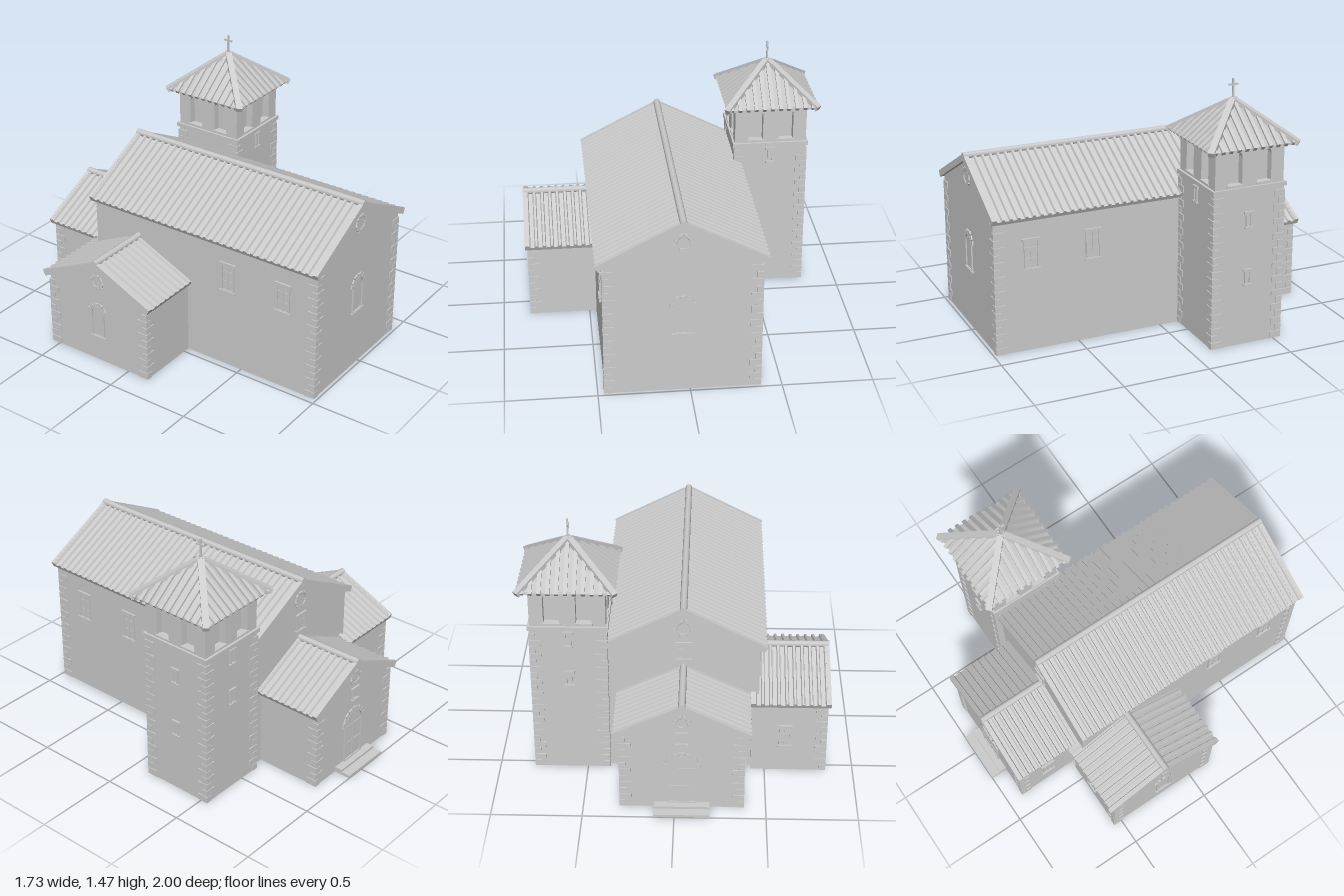
import * as THREE from 'three';

const mat = new THREE.MeshStandardMaterial({ color: 0xcccccc });

function add(parent, name, geo, x = 0, y = 0, z = 0, ry = 0) {
  const m = new THREE.Mesh(geo, mat);
  m.name = name;
  m.position.set(x, y, z);
  m.rotation.y = ry;
  parent.add(m);
  return m;
}
function group(parent, name, x = 0, y = 0, z = 0, ry = 0) {
  const g = new THREE.Group();
  g.name = name;
  g.position.set(x, y, z);
  g.rotation.y = ry;
  parent.add(g);
  return g;
}
const box = (w, h, d) => new THREE.BoxGeometry(w, h, d);
const extrude = (shape, depth) => new THREE.ExtrudeGeometry(shape, { depth, bevelEnabled: false, curveSegments: 10 });

// Upright outline, optionally with a round head; y is its bottom
function opening(Type, w, h, arched, x = 0, y = 0) {
  const s = new Type(), r = w / 2;
  s.moveTo(x - r, y);
  s.lineTo(x + r, y);
  if (arched) {
    s.lineTo(x + r, y + h - r);
    s.absarc(x, y + h - r, r, 0, Math.PI, false);
  } else {
    s.lineTo(x + r, y + h);
    s.lineTo(x - r, y + h);
  }
  s.closePath();
  return s;
}

// Stone blocks set around an arc
function voussoirs(g, cy, r, from, to, n, size) {
  for (let i = 0; i < n; i++) {
    const a = from + ((to - from) * (i + 0.5)) / n;
    const b = add(g, 'archStone', box(size * (i % 2 ? 1 : 1.35), r * (to - from) / n * 0.9, 0.016), Math.cos(a) * r, cy + Math.sin(a) * r, 0);
    b.rotation.z = a;
  }
}

// Framed window or door facing +z, with its foot at the origin
function windowUnit(parent, name, x, y, z, ry, w, h, { arched = false, bars = 0, stones = 0, sill = true, lintel = false } = {}) {
  const g = group(parent, name, x, y, z, ry), f = 0.008;
  const frame = opening(THREE.Shape, w, h, arched);
  frame.holes.push(opening(THREE.Path, w - 2 * f, h - 2 * f, arched, 0, f));
  add(g, 'frame', extrude(frame, 0.009));
  add(g, 'pane', extrude(opening(THREE.Shape, w - f, h - f, arched, 0, f / 2), 0.002));
  if (sill) add(g, 'sill', box(w + 0.016, 0.01, 0.028), 0, 0, 0);
  if (lintel) add(g, 'lintel', box(w + 0.02, 0.016, 0.022), 0, h, 0);
  if (bars) {
    add(g, 'mullion', box(0.009, h - f, 0.012), 0, h / 2, 0);
    for (let i = 1; i <= bars; i++) add(g, 'crossBar', box(w - f, 0.006, 0.01), 0, (h * 0.85 * i) / (bars + 0.35), 0);
  }
  if (stones) voussoirs(g, h - w / 2, w / 2 + 0.009, 0, Math.PI, stones, 0.018);
}

function roundWindow(parent, x, y, z, ry, r) {
  const g = group(parent, 'roundWindow', x, y, z, ry);
  add(g, 'ring', new THREE.TorusGeometry(r, 0.006, 6, 24));
  add(g, 'pane', new THREE.CylinderGeometry(r, r, 0.006, 24)).rotation.x = Math.PI / 2;
  voussoirs(g, 0, r + 0.008, 0, Math.PI * 2, 12, 0.013);
}

// Alternating corner stones; sx and sz point out of the corner
function quoins(parent, x, z, sx, sz, height) {
  const g = group(parent, 'cornerStones'), step = 0.042, n = Math.floor(height / step);
  for (let i = 0; i < n; i++) {
    const w = i % 2 ? 0.065 : 0.036, d = i % 2 ? 0.036 : 0.065;
    add(g, 'cornerStone', box(w, step - 0.004, d), x - sx * (w / 2 - 0.006), (i + 0.5) * step, z - sz * (d / 2 - 0.006));
  }
}

// Gabled wall block with the gable facing z, centred on its group
function gableWalls(parent, name, x, z, ry, halfW, length, peak, slope) {
  const s = new THREE.Shape();
  s.moveTo(-halfW, 0);
  s.lineTo(halfW, 0);
  s.lineTo(halfW, peak - slope * halfW);
  s.lineTo(0, peak);
  s.lineTo(-halfW, peak - slope * halfW);
  s.closePath();
  add(group(parent, name, x, 0, z, ry), 'walls', extrude(s, length), 0, 0, -length / 2);
}

// Two ribbed roof slopes with the ridge along local x
function gableRoof(parent, name, x, y, z, ry, length, run, rise) {
  const g = group(parent, name, x, y, z, ry);
  const n = Math.round(length / 0.044), p = length / n, w = 0.011, h = 0.013;
  const s = new THREE.Shape();
  s.moveTo(-length / 2, -0.022);
  s.lineTo(length / 2, -0.022);
  s.lineTo(length / 2, 0);
  for (let i = n - 1; i >= 0; i--) {
    const c = -length / 2 + (i + 0.5) * p;
    s.lineTo(c + w, 0);
    s.lineTo(c + w * 0.55, h);
    s.lineTo(c - w * 0.55, h);
    s.lineTo(c - w, 0);
  }
  s.lineTo(-length / 2, 0);
  s.closePath();
  const slopeLen = Math.hypot(run, rise);
  for (const turn of [0, Math.PI]) {
    const side = group(g, 'roofSlope', 0, 0, 0, turn);
    add(side, 'tiles', extrude(s, slopeLen)).rotation.x = Math.atan2(rise, run);
    // raised edge tiles along both gables
    for (const e of [-1, 1]) {
      const v = add(side, 'edgeTiles', box(0.02, 0.03, slopeLen), e * (length / 2 - 0.01), -rise / 2, run / 2);
      v.rotation.x = Math.atan2(rise, run);
    }
  }
  add(g, 'ridgeCap', new THREE.CylinderGeometry(0.02, 0.02, length, 8), 0, 0.005, 0).rotation.z = Math.PI / 2;
}

function buildTower(parent) {
  const t = group(parent, 'tower', 0.587, 0, -0.328), hw = 0.208;
  add(t, 'towerWalls', box(2 * hw, 0.91, 2 * hw + 0.008), 0, 0.455, 0);
  add(t, 'stringCourse', box(2 * hw + 0.024, 0.024, 2 * hw + 0.03), 0, 0.912, 0);
  add(t, 'belfryCore', box(0.33, 0.24, 0.33), 0, 1.03, 0);
  add(t, 'eaves', box(0.5, 0.018, 0.5), 0, 1.148, 0);
  add(t, 'cornice', box(0.44, 0.02, 0.44), 0, 1.132, 0);
  for (const sx of [-1, 1]) for (const sz of [-1, 1]) quoins(t, sx * hw, sz * (hw + 0.004), sx, sz, 0.9);

  const half = 0.255, rise = 0.2, eave = 1.152, slope = Math.hypot(half, rise), tilt = Math.atan2(rise, half);
  add(t, 'roofBody', new THREE.ConeGeometry(half * Math.SQRT2, rise, 4, 1, false, Math.PI / 4), 0, eave + rise / 2, 0);
  for (let k = 0; k < 4; k++) {
    const side = group(t, 'towerSide', 0, 0, 0, (k * Math.PI) / 2);
    // belfry wall with its pair of arches
    const wall = opening(THREE.Shape, 2 * hw, 0.23, false, 0, 0.915);
    for (const x of [-0.088, 0.088]) {
      wall.holes.push(opening(THREE.Path, 0.085, 0.195, true, x, 0.938));
      add(side, 'archSill', box(0.1, 0.01, 0.03), x, 0.937, hw - 0.008);
    }
    add(side, 'belfryWall', extrude(wall, 0.043), 0, 0, hw - 0.043);
    // tile ribs cut short by the hips
    const face = group(side, 'roofFace', 0, eave + rise, 0);
    face.rotation.x = tilt;
    for (let i = -5; i <= 5; i++) {
      const x = i * 0.047, len = slope * (1 - Math.abs(x) / half) + 0.008;
      add(face, 'tileRib', box(0.021, 0.024, len), x, 0, slope + 0.008 - len / 2);
    }
    const hip = group(t, 'hip', 0, eave + rise, 0, Math.PI / 4 + (k * Math.PI) / 2);
    const run = half * Math.SQRT2, hipLen = Math.hypot(run, rise) + 0.012;
    hip.rotation.order = 'YXZ';
    hip.rotation.x = Math.atan2(rise, run);
    add(hip, 'hipCap', box(0.036, 0.03, hipLen), 0, 0.002, hipLen / 2);
  }
  add(t, 'crossPost', box(0.01, 0.12, 0.01), 0, 1.41, 0);
  add(t, 'crossArm', box(0.01, 0.01, 0.055), 0, 1.437, 0);

  // slit windows
  const slit = (x, y, z, ry) => windowUnit(t, 'slitWindow', x, y, z, ry, 0.036, 0.085, { lintel: true });
  slit(0, 0.8, hw + 0.004, 0);
  for (const y of [0.69, 0.355]) slit(hw, y, 0, Math.PI / 2);
  for (const y of [0.8, 0.55]) slit(0, y, -hw - 0.004, Math.PI);
}

export function createModel() {
  const m = new THREE.Group();
  m.name = 'church';
  const cx = -0.04, Q = Math.PI / 2;

  // Nave
  gableWalls(m, 'nave', cx, 0.235, 0, 0.42, 1.49, 1.005, 0.516);
  gableRoof(m, 'naveRoof', cx, 1.02, 0.235, Q, 1.53, 0.455, 0.235);
  for (const s of [-1, 1]) {
    quoins(m, cx + s * 0.42, 0.98, s, 1, 0.78);
    for (const z of [0.77, 0.41])
      windowUnit(m, 'naveWindow', cx + s * 0.42, 0.48, z, s * Q, 0.085, 0.17, { bars: 2, lintel: true });
  }
  roundWindow(m, cx, 0.905, 0.98, 0, 0.037);
  windowUnit(m, 'frontWindow', cx, 0.355, 0.98, 0, 0.104, 0.215, { arched: true, stones: 7 });
  roundWindow(m, cx, 0.905, -0.51, Math.PI, 0.037);
  windowUnit(m, 'backWindow', cx, 0.71, -0.51, Math.PI, 0.07, 0.1, { bars: 1, lintel: true });

  // Porch at the back
  gableWalls(m, 'porch', cx, -0.7, 0, 0.335, 0.4, 0.64, 0.486);
  gableRoof(m, 'porchRoof', cx, 0.655, -0.71, Q, 0.42, 0.37, 0.18);
  for (const s of [-1, 1]) quoins(m, cx + s * 0.335, -0.9, s, -1, 0.47);
  roundWindow(m, cx, 0.555, -0.9, Math.PI, 0.03);
  windowUnit(m, 'porchSmallWindow', cx, 0.415, -0.9, Math.PI, 0.05, 0.07, { lintel: true });
  windowUnit(m, 'door', cx, 0.03, -0.9, Math.PI, 0.16, 0.31, { arched: true, bars: 2, stones: 9, sill: false });
  windowUnit(m, 'porchSideWindow', cx - 0.335, 0.165, -0.71, -Q, 0.065, 0.13, { bars: 1, lintel: true });
  add(m, 'lowerStep', box(0.305, 0.016, 0.12), cx, 0.008, -0.94);
  add(m, 'upperStep', box(0.305, 0.03, 0.06), cx, 0.015, -0.915);

  // Side wing
  gableWalls(m, 'wing', -0.63, -0.205, -Q, 0.34, 0.42, 0.61, 0.46);
  gableRoof(m, 'wingRoof', -0.637, 0.625, -0.207, 0, 0.446, 0.37, 0.17);
  for (const s of [-1, 1]) quoins(m, -0.84, -0.205 + s * 0.34, -1, s, 0.45);
  roundWindow(m, -0.84, 0.51, -0.205, -Q, 0.03);
  windowUnit(m, 'wingWindow', -0.84, 0.155, -0.205, -Q, 0.09, 0.2, { arched: true, stones: 7 });
  windowUnit(m, 'wingBackWindow', -0.61, 0.165, -0.545, Math.PI, 0.065, 0.13, { bars: 1, lintel: true });

  buildTower(m);
  return m;
}
